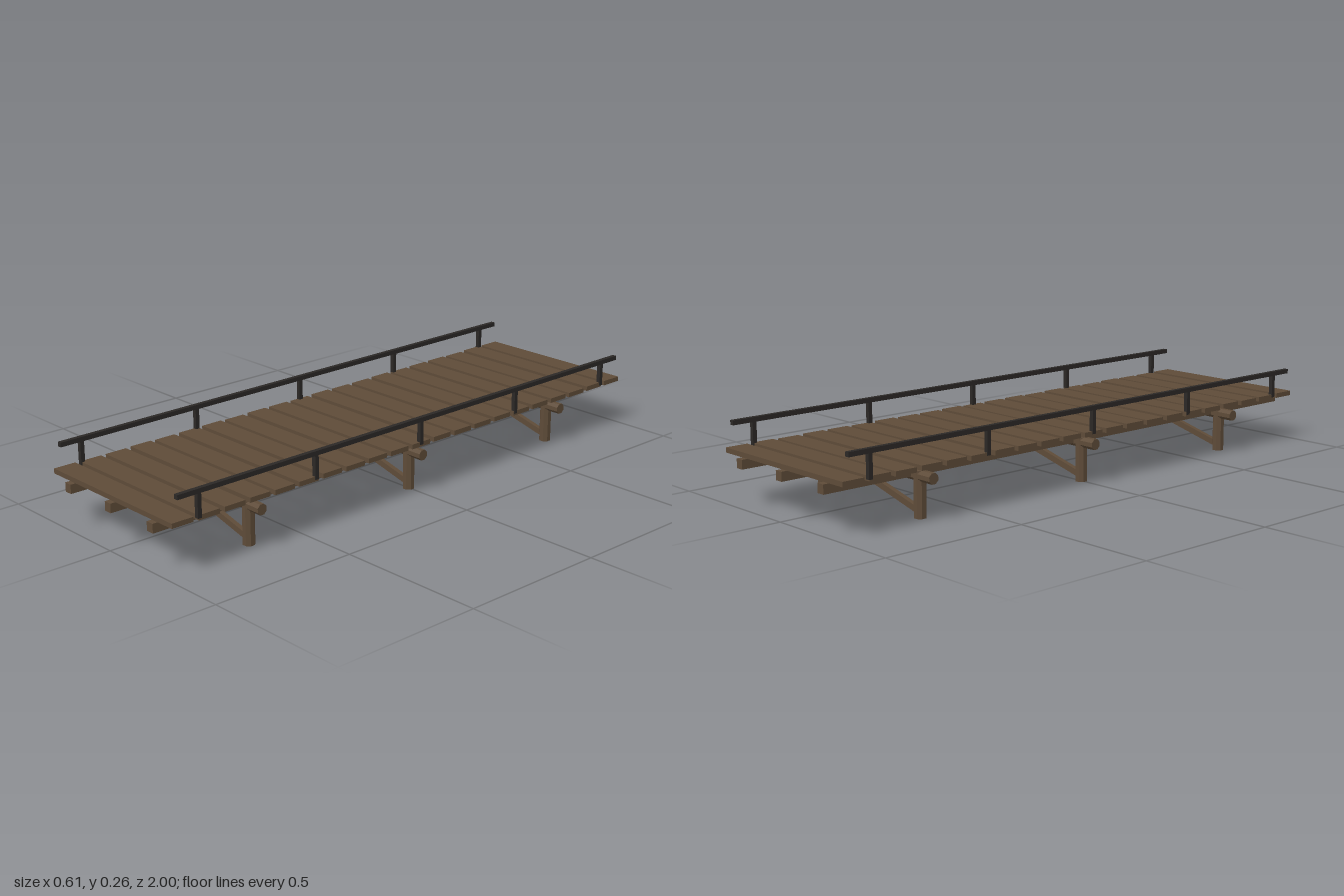
import * as THREE from 'three';

export function createModel() {
  const bridge = new THREE.Group();
  bridge.name = 'footbridge';
  const wood = new THREE.MeshStandardMaterial({ color: 0x5e4b38, flatShading: true });
  const iron = new THREE.MeshStandardMaterial({ color: 0x2b2826, flatShading: true });

  function add(name, geometry, material, x, y, z, parent = bridge) {
    const mesh = new THREE.Mesh(geometry, material);
    mesh.name = name;
    mesh.position.set(x, y, z);
    parent.add(mesh);
    return mesh;
  }

  // Octagonal log with a flat face towards the front
  const log = (radius, length) =>
    new THREE.CylinderGeometry(radius, radius, length, 8).rotateY(Math.PI / 8);

  // Deck planks, slightly uneven in height
  const deck = new THREE.Group();
  deck.name = 'deck';
  bridge.add(deck);
  const plankGeometry = new THREE.BoxGeometry(0.592, 0.016, 0.077);
  for (let i = 0; i < 21; i++) {
    const y = 0.1655 + 0.001 * Math.sin(i * 2.3);
    add('plank', plankGeometry, wood, 0, y, (i - 10) * 0.095);
  }

  // Long stringers under the deck
  const stringerGeometry = new THREE.BoxGeometry(0.028, 0.03, 2);
  for (const x of [-0.206, 0, 0.206]) add('stringer', stringerGeometry, wood, x, 0.139, 0);

  // Trestles: two legs, a cap beam and crossed braces
  const legGeometry = log(0.0198, 0.146);
  const capGeometry = log(0.0184, 0.61).rotateZ(Math.PI / 2);
  const rise = 0.118, run = 0.46;
  const braceGeometry = new THREE.BoxGeometry(Math.hypot(rise, run), 0.02, 0.016);
  for (const z of [-0.667, 0, 0.667]) {
    const trestle = new THREE.Group();
    trestle.name = 'trestle';
    trestle.position.z = z;
    bridge.add(trestle);
    add('capBeam', capGeometry, wood, 0, 0.13, 0, trestle);
    for (const side of [-1, 1]) {
      add('leg', legGeometry, wood, side * 0.24, 0.073, 0, trestle);
      const brace = add('brace', braceGeometry, wood, 0, 0.08, side * 0.004, trestle);
      brace.rotation.z = side * Math.atan2(rise, run);
    }
  }

  // Railings: five posts and a thin handrail on each side
  const postGeometry = new THREE.BoxGeometry(0.014, 0.085, 0.014);
  const railGeometry = new THREE.BoxGeometry(0.015, 0.015, 1.935);
  for (const side of [-1, 1]) {
    const railing = new THREE.Group();
    railing.name = side > 0 ? 'leftRailing' : 'rightRailing';
    railing.position.x = side * 0.291;
    bridge.add(railing);
    for (let i = -2; i <= 2; i++) add('railPost', postGeometry, iron, 0, 0.206, i * 0.445, railing);
    add('handrail', railGeometry, iron, 0, 0.248, 0, railing);
  }
  return bridge;
}
